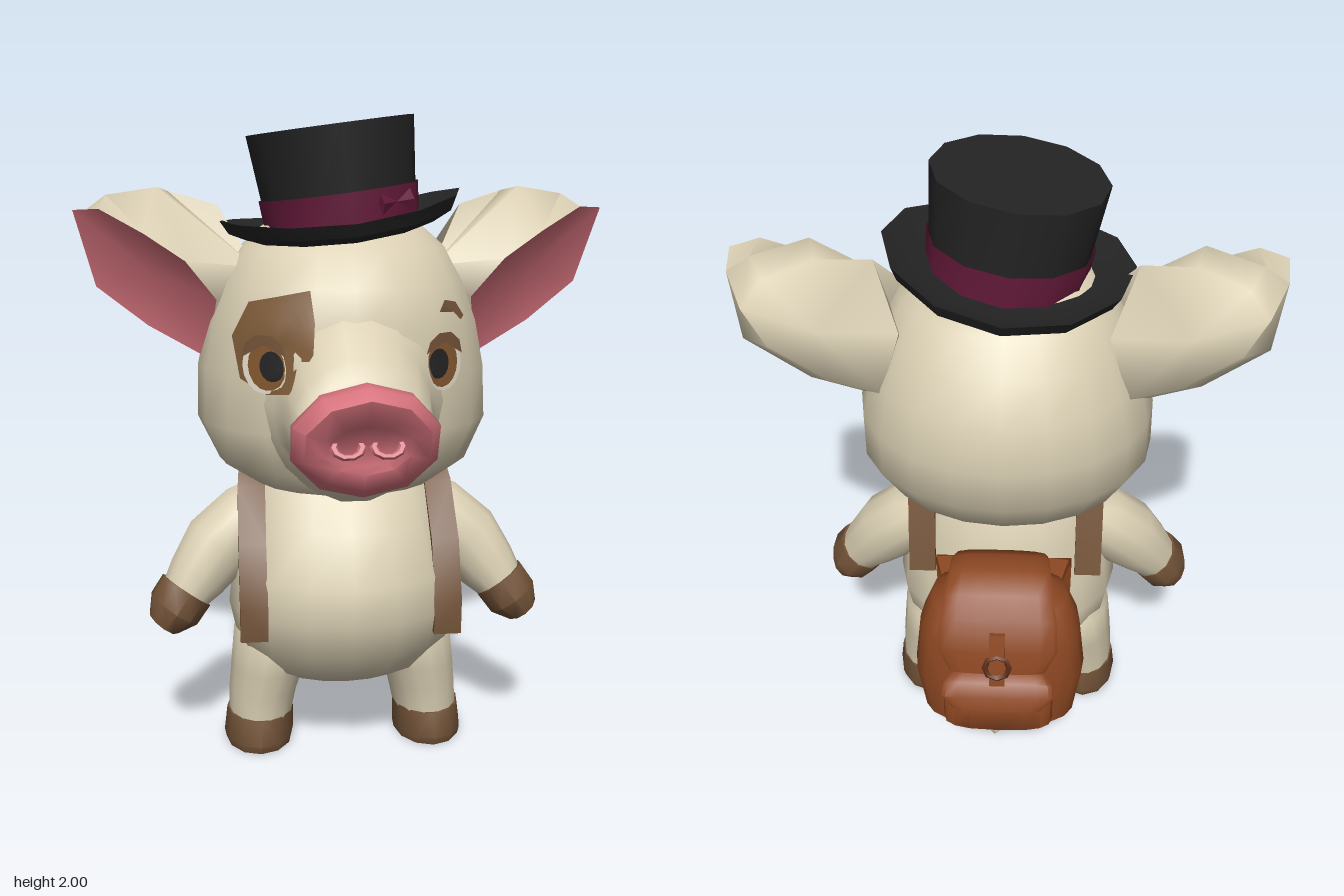
import * as THREE from 'three';
import { toCreasedNormals } from 'three/addons/utils/BufferGeometryUtils.js';

const V = (x, y, z) => new THREE.Vector3(x, y, z);
const paint = (name, color) => new THREE.MeshStandardMaterial({ name, color, side: THREE.DoubleSide });
const X = V(1, 0, 0), Y = V(0, 1, 0), Z = V(0, 0, 1);

// Surface through rows of equally long closed loops
function skin(rows) {
  const n = rows[0].length, index = [];
  for (let k = 0; k < rows.length - 1; k++) {
    for (let i = 0; i < n; i++) {
      const j = (i + 1) % n, a = k * n + i, b = k * n + j;
      index.push(a, b, b + n, a, b + n, a + n);
    }
  }
  const geo = new THREE.BufferGeometry().setFromPoints(rows.flat());
  geo.setIndex(index);
  return geo;
}

// Closed loft through rings [x, y, z, radiusA, radiusB]; p < 1 makes the section squarer
function loft(rings, { n = 16, axis = null, ref = X, p = 1, phase = 0 } = {}) {
  const centres = rings.map(r => V(r[0], r[1], r[2]));
  const pow = v => Math.sign(v) * Math.pow(Math.abs(v), p);
  const rows = rings.map((r, k) => {
    const t = axis || centres[Math.min(k + 1, rings.length - 1)].clone().sub(centres[Math.max(k - 1, 0)]).normalize();
    const u = ref.clone().addScaledVector(t, -ref.dot(t)).normalize();
    const v = t.clone().cross(u);
    return Array.from({ length: n }, (_, i) => {
      const a = phase + i / n * Math.PI * 2;
      return centres[k].clone().addScaledVector(u, pow(Math.cos(a)) * r[3]).addScaledVector(v, pow(Math.sin(a)) * r[4]);
    });
  });
  const cap = c => Array(n).fill(c);
  return skin([cap(centres[0]), ...rows, cap(centres[centres.length - 1])]);
}

// Upright rings given as [y, halfWidth, back, front]
const upright = (list, opts) =>
  loft(list.map(([y, w, b, f]) => [0, y, (b + f) / 2, w, (f - b) / 2]), { axis: Y, ...opts });

// Flat strap with a rectangular section along a path
const strap = (path, width, thick) =>
  loft(path.map(q => [...q, width * 0.707, thick * 0.707]), { n: 4, phase: Math.PI / 4 });

// Soft leather sheet along rings [y, z, halfWidth], rounded at the sides
const sheet = (path, thick) => loft(path.map(([y, z, w]) => [0, y, z, w, thick / 2]), { n: 14, p: 0.7 });

function mirror(geo) {
  const g = geo.clone().scale(-1, 1, 1), ix = g.index.array;
  for (let i = 0; i < ix.length; i += 3) [ix[i], ix[i + 1]] = [ix[i + 1], ix[i]];
  return g;
}

const HEAD = [
  [0.86, 0.16, -0.1, 0.2], [0.885, 0.28, -0.19, 0.32], [0.95, 0.39, -0.28, 0.37], [1.08, 0.455, -0.37, 0.4],
  [1.24, 0.45, -0.41, 0.405], [1.38, 0.42, -0.385, 0.405], [1.5, 0.375, -0.33, 0.37], [1.6, 0.32, -0.25, 0.29],
  [1.67, 0.24, -0.17, 0.2], [1.7, 0.12, -0.08, 0.12]];
const MUZZLE = [
  [0, 1.18, 0.28, 0.3, 0.305], [0, 1.16, 0.36, 0.24, 0.285], [0, 1.145, 0.42, 0.217, 0.25],
  [0, 1.13, 0.5, 0.205, 0.195], [0, 1.12, 0.55, 0.19, 0.155]];

// Depth of the face at a point seen from the front
function faceZ(x, y) {
  let k = 0;
  while (k < HEAD.length - 2 && HEAD[k + 1][0] < y) k++;
  const s = (y - HEAD[k][0]) / (HEAD[k + 1][0] - HEAD[k][0]);
  const [, w, b, f] = HEAD[k].map((v, i) => v + (HEAD[k + 1][i] - v) * s);
  let z = (b + f) / 2 + (f - b) / 2 * Math.sqrt(Math.max(0, 1 - (x / w) ** 2));
  for (let m = 0; m < MUZZLE.length - 1; m++) {
    for (let q = 0; q < 1; q += 0.1) {
      const r = MUZZLE[m].map((v, i) => v + (MUZZLE[m + 1][i] - v) * q);
      if ((x / r[3]) ** 2 + ((y - r[1]) / r[4]) ** 2 < 1) z = Math.max(z, r[2]);
    }
  }
  return z;
}

// Thin painted area that hugs the face; outline runs counter-clockwise
function decal(outline, lift) {
  const cx = outline.reduce((s, q) => s + q[0], 0) / outline.length;
  const cy = outline.reduce((s, q) => s + q[1], 0) / outline.length;
  return skin([1, 0.8, 0.6, 0.4, 0.2, 0].map(s => outline.map(([x, y]) => {
    const px = cx + (x - cx) * s, py = cy + (y - cy) * s;
    return V(px, py, faceZ(px, py) + lift);
  })));
}
const oval = (x, y, rx, ry) => Array.from({ length: 16 }, (_, i) =>
  [x + rx * Math.cos(i * Math.PI / 8), y + ry * Math.sin(i * Math.PI / 8)]);

export function createModel() {
  const cream = paint('cream', 0xdacfb3), pink = paint('pink', 0xd8747e), brown = paint('brown', 0x735338);
  const black = paint('black', 0x242424), maroon = paint('maroon', 0x651a3a), patchBrown = paint('patchBrown', 0x7d5a38);
  const leather = paint('leather', 0x8c4722), darkLeather = paint('darkLeather', 0x5f2e16);
  const white = paint('eyeWhite', 0xe9e1d0), iris = paint('iris', 0x85582f);

  const model = new THREE.Group();
  const add = (name, geo, mat, crease = 1, parent = model) => {
    const mesh = new THREE.Mesh(toCreasedNormals(geo, crease), mat);
    mesh.name = name;
    parent.add(mesh);
    return mesh;
  };
  const pair = (name, geo, mat, crease = 1, parent = model) => {
    add(name + 'Left', geo, mat, crease, parent);
    add(name + 'Right', mirror(geo), mat, crease, parent);
  };

  // Body and head
  add('body', upright([
    [0.22, 0.2, -0.1, 0.16], [0.27, 0.28, -0.16, 0.25], [0.36, 0.345, -0.225, 0.33], [0.48, 0.37, -0.245, 0.375],
    [0.6, 0.355, -0.23, 0.37], [0.75, 0.315, -0.2, 0.29], [0.88, 0.28, -0.17, 0.2], [0.97, 0.2, -0.12, 0.12]]), cream, 1.2);
  add('head', upright(HEAD, { n: 20 }), cream, 1.2);
  add('muzzle', loft(MUZZLE, { axis: Z, n: 18 }), cream, 1.2);

  // Snout: tilted rings with a shallow sunken front
  const snoutRow = ([w, h, z, slope]) => Array.from({ length: 10 }, (_, i) => {
    const a = (i + 0.5) * Math.PI / 5, y = h * Math.sin(a);
    return V(w * Math.cos(a), 1.105 + y, z + y * slope);
  });
  add('snout', skin([[0.19, 0.15, 0.51, 0.25], [0.215, 0.172, 0.545, 0.28], [0.212, 0.168, 0.59, 0.38], [0.18, 0.14, 0.632, 0.46],
    [0.125, 0.085, 0.638, 0.42], [0.1, 0.06, 0.62, 0.42], [0, 0, 0.62, 0.42]].map(snoutRow)), pink, 0.9);
  const nostril = new THREE.TorusGeometry(0.036, 0.011, 6, 10).scale(1.1, 0.8, 1).rotateX(-0.4).translate(0.055, 1.105, 0.621);
  pair('nostril', nostril, pink);

  // Eyes, lids, brow and eye patch
  add('eyePatch', decal([[-0.13, 1.33], [-0.12, 1.41], [-0.13, 1.5], [-0.22, 1.48], [-0.3, 1.46], [-0.35, 1.36],
    [-0.33, 1.24], [-0.26, 1.2], [-0.2, 1.22]], 0.007), patchBrown);
  pair('eyeWhite', decal(oval(0.263, 1.282, 0.06, 0.08), 0.012), white);
  pair('iris', decal(oval(0.257, 1.284, 0.051, 0.07), 0.017), iris);
  pair('pupil', decal(oval(0.243, 1.285, 0.033, 0.044), 0.022), black);
  pair('eyelid', decal([[0.203, 1.315], [0.225, 1.345], [0.262, 1.355], [0.3, 1.342], [0.325, 1.305], [0.316, 1.345],
    [0.285, 1.372], [0.245, 1.372], [0.215, 1.35]], 0.02), brown);
  add('brow', decal([[0.25, 1.43], [0.3, 1.425], [0.325, 1.4], [0.338, 1.41], [0.31, 1.452], [0.27, 1.462]], 0.014), brown);

  // Ears: rounded cupped shell whose top folds forward over a pink hollow
  const points = list => list.map(q => V(...q));
  const rim = points([[0.48, 1.57, 0.16], [0.39, 1.45, 0.11], [0.42, 1.26, 0.02], [0.6, 1.36, -0.01],
    [0.755, 1.48, -0.03], [0.81, 1.715, 0.04], [0.73, 1.72, 0.09], [0.6, 1.65, 0.14]]);
  const fold = points([[0.27, 1.545, 0.1], [0.32, 1.4, 0.06], [0.38, 1.25, -0.03], [0.58, 1.36, -0.1],
    [0.76, 1.51, -0.13], [0.795, 1.7, -0.08], [0.72, 1.755, -0.09], [0.56, 1.78, -0.02]]);
  const back = points([[0.38, 1.725, -0.04], [0.3, 1.56, -0.17], [0.36, 1.36, -0.18], [0.5, 1.42, -0.21],
    [0.67, 1.54, -0.22], [0.73, 1.66, -0.22], [0.67, 1.735, -0.19], [0.53, 1.765, -0.12]]);
  pair('ear', skin([Array(8).fill(V(0.52, 1.6, -0.24)), back, fold, rim]), cream, 1.1);
  pair('earHollow', skin([rim, Array(8).fill(V(0.59, 1.53, 0.03))]), pink, 0.9);

  // Arms, hands, legs and hooves
  pair('arm', loft([[0.2, 0.82, 0.02, 0.1, 0.08], [0.3, 0.75, 0.03, 0.12, 0.112], [0.4, 0.66, 0.05, 0.115, 0.118],
    [0.47, 0.57, 0.08, 0.1, 0.098], [0.51, 0.52, 0.095, 0.09, 0.08]], { n: 12, ref: Z }), cream);
  pair('hand', loft([[0.505, 0.53, 0.095, 0.1, 0.09], [0.545, 0.475, 0.11, 0.107, 0.088], [0.58, 0.43, 0.115, 0.075, 0.055]],
    { n: 10, ref: Z }), brown, 0.8);
  pair('leg', loft([[0.275, 0.08, 0.045, 0.103, 0.135], [0.262, 0.18, 0.04, 0.112, 0.145], [0.245, 0.26, 0.04, 0.122, 0.165],
    [0.215, 0.38, 0.03, 0.14, 0.185], [0.19, 0.47, 0.04, 0.1, 0.13]], { n: 14, axis: Y }), cream);
  pair('hoof', loft([[0.28, 0, 0.05, 0.108, 0.15], [0.28, 0.025, 0.05, 0.113, 0.16], [0.275, 0.105, 0.045, 0.108, 0.142]],
    { n: 12, axis: Y }), brown, 0.8);

  // Curly tail
  const tailPath = new THREE.CatmullRomCurve3(points([[0, 0.41, -0.2], [0.02, 0.37, -0.34], [-0.03, 0.35, -0.44],
    [-0.1, 0.37, -0.51], [-0.05, 0.41, -0.55], [0.02, 0.4, -0.61]]));
  add('tail', loft(tailPath.getPoints(16).map((q, i) => [q.x, q.y, q.z, 0.056 - i * 0.0024, 0.056 - i * 0.0024]), { n: 8 }), cream);

  // Shoulder straps on the body
  pair('frontStrap', strap([[0.285, 0.93, 0], [0.295, 0.86, 0.1], [0.3, 0.7, 0.215], [0.3, 0.53, 0.278], [0.3, 0.42, 0.272]],
    0.085, 0.03), brown, 0.5);
  pair('backStrap', strap([[0.27, 0.9, -0.09], [0.27, 0.78, -0.125], [0.27, 0.65, -0.155]], 0.085, 0.024), brown, 0.5);

  // Tilted top hat; the brim curls up at both sides
  const hat = new THREE.Group();
  hat.name = 'topHat';
  hat.position.set(0, 1.68, 0.035);
  hat.rotation.z = 0.13;
  model.add(hat);
  const profile = [[0.2, -0.055], [0.29, -0.05], [0.35, -0.03], [0.372, 0.008], [0.35, 0.002], [0.29, -0.01], [0.2, -0.01]];
  const brim = new THREE.LatheGeometry(profile.map(q => new THREE.Vector2(...q)), 12);
  const pos = brim.attributes.position;
  for (let i = 0; i < pos.count; i++) pos.setY(i, pos.getY(i) + 0.04 * (pos.getX(i) / 0.37) ** 2);
  add('brim', brim, black, 0.6, hat);
  add('crown', new THREE.CylinderGeometry(0.257, 0.228, 0.305, 12).translate(0, 0.1325, 0), black, 0.6, hat);
  add('band', new THREE.CylinderGeometry(0.246, 0.238, 0.105, 12, 1, true).translate(0, 0.0375, 0), maroon, 0.6, hat);
  for (const s of [-1, 1]) {
    const bow = add('bow', new THREE.ConeGeometry(0.032, 0.06, 4).scale(1, 1, 0.4), maroon, 0.3, hat);
    bow.position.set(0.14 + s * 0.024, 0.045, 0.21 - s * 0.014);
    bow.rotation.set(0, 0.6, s * Math.PI / 2);
  }

  // Backpack
  const pack = new THREE.Group();
  pack.name = 'backpack';
  model.add(pack);
  add('bag', upright([[0.41, 0.18, -0.58, -0.38], [0.435, 0.235, -0.62, -0.345], [0.6, 0.258, -0.635, -0.34],
    [0.76, 0.24, -0.615, -0.345], [0.86, 0.2, -0.58, -0.365], [0.89, 0.14, -0.55, -0.4]], { n: 20, p: 0.7 }), leather, 0.9, pack);
  add('flap', sheet([[0.86, -0.36, 0.13], [0.92, -0.38, 0.14], [0.947, -0.43, 0.145], [0.947, -0.49, 0.15], [0.92, -0.56, 0.16],
    [0.87, -0.61, 0.17], [0.78, -0.64, 0.175], [0.71, -0.652, 0.14]], 0.034), leather, 0.9, pack);
  add('pocket', upright([[0.45, 0.13, -0.64, -0.56], [0.48, 0.165, -0.68, -0.56], [0.58, 0.165, -0.685, -0.56],
    [0.63, 0.14, -0.66, -0.56]], { n: 16, p: 0.7 }), leather, 0.9, pack);
  add('pocketFlap', sheet([[0.67, -0.625, 0.14], [0.66, -0.66, 0.16], [0.63, -0.683, 0.165], [0.585, -0.69, 0.13]], 0.024),
    leather, 0.9, pack);
  add('buckleStrap', strap([[0, 0.85, -0.642], [0, 0.76, -0.666], [0, 0.68, -0.68]], 0.045, 0.014), leather, 0.5, pack);
  add('buckle', new THREE.TorusGeometry(0.036, 0.009, 4, 8).rotateX(0.25).translate(0, 0.745, -0.674), darkLeather, 0.8, pack);
  pair('upperHarness', strap([[0.15, 0.82, -0.37], [0.17, 0.825, -0.3], [0.18, 0.77, -0.235], [0.18, 0.63, -0.205]],
    0.07, 0.025), leather, 0.6, pack);
  pair('lowerHarness', strap([[0.15, 0.475, -0.36], [0.16, 0.47, -0.3], [0.16, 0.455, -0.245]], 0.06, 0.025), leather, 0.6, pack);

  return model;
}
